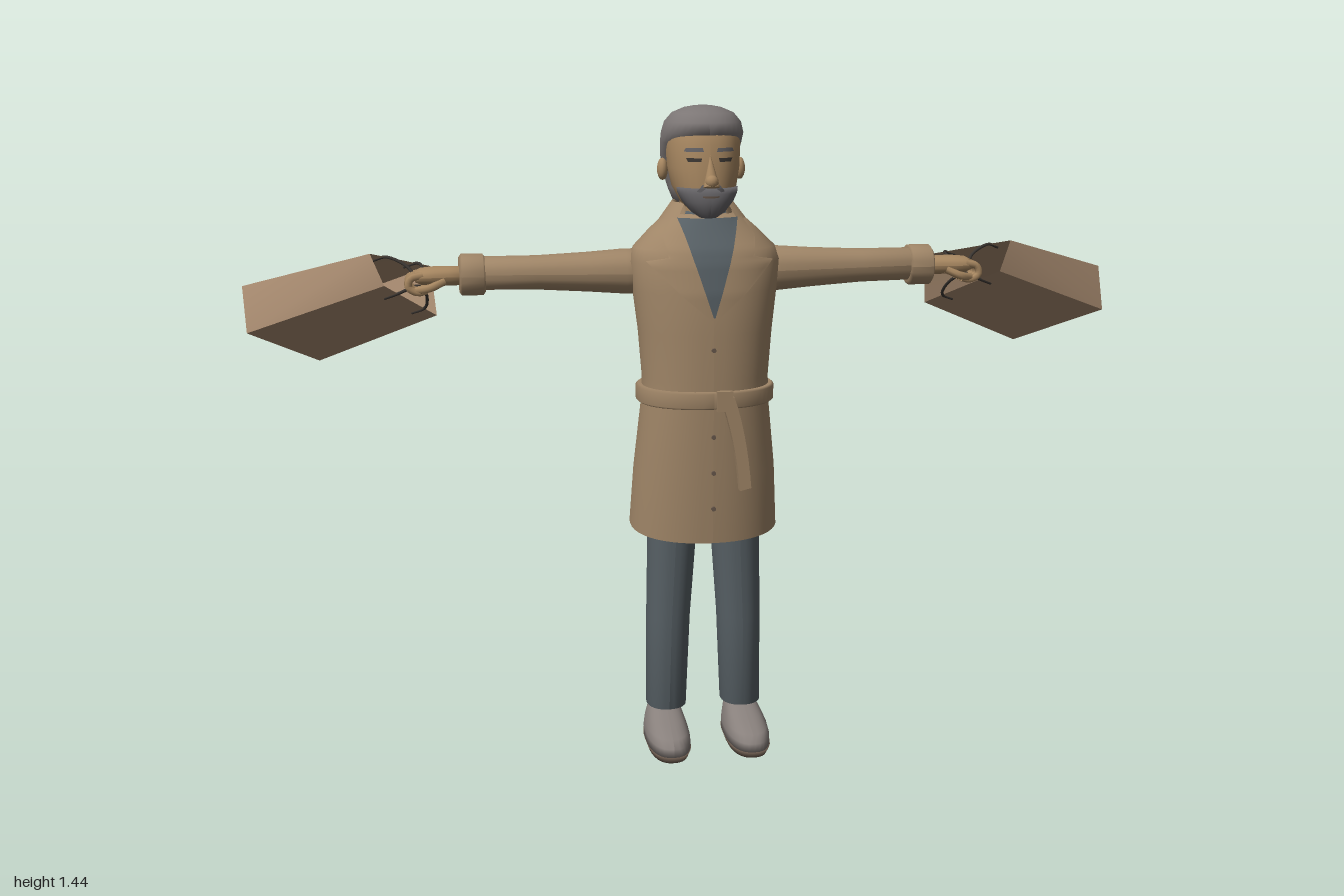
import * as THREE from 'three';

const mat = (name, color) => {
  const m = new THREE.MeshStandardMaterial({ color, side: THREE.DoubleSide });
  m.name = name;
  return m;
};

// Cross-section rows are [y, halfWidth, frontZ, backZ, centreX]
const ringPoint = ([y, w, f, b, cx = 0], a, p) => {
  const s = Math.sin(a), c = Math.cos(a), e = 2 / p;
  return [cx + w * Math.sign(s) * Math.abs(s) ** e, y,
    (f + b) / 2 + (f - b) / 2 * Math.sign(c) * Math.abs(c) ** e];
};

function grid(rows, cols, point) {
  const pos = [], idx = [];
  for (let i = 0; i < rows; i++) for (let j = 0; j < cols; j++) pos.push(...point(i, j));
  for (let i = 0; i < rows - 1; i++) for (let j = 0; j < cols - 1; j++) {
    const a = i * cols + j, d = a + cols;
    idx.push(a, a + 1, d + 1, a, d + 1, d);
  }
  const g = new THREE.BufferGeometry();
  g.setAttribute('position', new THREE.Float32BufferAttribute(pos, 3));
  g.setIndex(idx);
  g.computeVertexNormals();
  return g;
}

// Loft through cross-sections; caps are made by collapsing an extra ring to a point
function loft(sections, { cap = 'both', p = 2.2, from = 0, to = Math.PI * 2, n = 32 } = {}) {
  const point = ([y, , f, b, cx = 0]) => [y, 0, (f + b) / 2, (f + b) / 2, cx];
  const s = [...sections];
  if (cap === 'both') s.unshift(point(s[0]));
  if (cap !== 'none') s.push(point(s[s.length - 1]));
  return grid(s.length, n + 1, (i, j) => ringPoint(s[i], from + (to - from) * j / n, p));
}

// Interpolated row of a table at height y
function rowAt(table, y) {
  let i = 0;
  while (i < table.length - 2 && table[i + 1][0] < y) i++;
  const a = table[i], b = table[i + 1];
  const t = THREE.MathUtils.clamp((y - a[0]) / (b[0] - a[0]), 0, 1);
  return a.map((v, k) => v + (b[k] - v) * t);
}

// Panel lying on a lofted surface; edge rows are [y, x0, x1]
function panel(table, edges, offset, side = 1, p = 2.2) {
  const n = 24, y0 = edges[0][0], y1 = edges[edges.length - 1][0];
  return grid(n + 1, 11, (i, j) => {
    const y = y0 + (y1 - y0) * i / n;
    const [, x0, x1] = rowAt(edges, y), [, w, f, b] = rowAt(table, y);
    const x = x0 + (x1 - x0) * (side > 0 ? j : 10 - j) / 10;
    const k = Math.max(0, 1 - Math.abs(x / w) ** p) ** (1 / p);
    return [x, y, (f + b) / 2 + side * ((f - b) / 2 * k + offset)];
  });
}

function mirrored(geo) {
  const g = geo.clone().scale(-1, 1, 1), ix = g.index;
  for (let i = 0; i < ix.count; i += 3) {
    const t = ix.getX(i);
    ix.setX(i, ix.getX(i + 1));
    ix.setX(i + 1, t);
  }
  return g;
}

const COAT = [[0.51, 0.165, 0.255, -0.01], [0.65, 0.157, 0.261, 0.012], [0.8, 0.141, 0.262, 0.032],
  [0.86, 0.139, 0.262, 0.034], [0.96, 0.147, 0.261, 0.034], [1.05, 0.158, 0.257, 0.03], [1.11, 0.164, 0.246, 0.03],
  [1.14, 0.155, 0.235, 0.033], [1.175, 0.12, 0.212, 0.04], [1.21, 0.08, 0.19, 0.055]];
const HEAD = [[1.215, 0.03, 0.212, 0.12], [1.235, 0.052, 0.219, 0.08], [1.27, 0.069, 0.221, 0.045],
  [1.31, 0.077, 0.218, 0.03], [1.36, 0.08, 0.212, 0.025], [1.4, 0.072, 0.198, 0.04], [1.425, 0.05, 0.17, 0.07]];

export function createModel() {
  const root = new THREE.Group();
  const coat = mat('coat', 0x9f8567), bag = mat('bag paper', 0xa88b70), skin = mat('skin', 0xa68660);
  const hair = mat('hair', 0x7c7675), beardM = mat('beard', 0x666467), cloth = mat('trouser cloth', 0x576065);
  const shoeM = mat('shoe', 0x88807c), soleM = mat('sole', 0x66564a), dark = mat('dark cord', 0x3b3632);
  const add = (name, geo, m) => {
    const mesh = new THREE.Mesh(geo, m);
    mesh.name = name;
    root.add(mesh);
  };
  const pair = (name, geo, m) => {
    add(name + 'Left', geo, m);
    add(name + 'Right', mirrored(geo), m);
  };

  // Coat, its hem rising toward the back
  const body = loft(COAT, { cap: 'top', n: 48 }), bp = body.attributes.position;
  for (let i = 0; i < bp.count; i++) if (bp.getY(i) < 0.52) bp.setY(i, 0.5 + (0.255 - bp.getZ(i)) * 0.12);
  body.computeVertexNormals();
  add('coat', body, coat);
  add('shirtFront', panel(COAT, [[1.0, -0.003, 0.003], [1.205, -0.066, 0.066]], 0.005), cloth);
  pair('lapel', panel(COAT, [[0.995, 0, 0.006], [1.05, 0.018, 0.07], [1.1, 0.034, 0.12], [1.118, 0.04, 0.138],
    [1.124, 0.042, 0.092], [1.17, 0.055, 0.1], [1.205, 0.066, 0.076]], 0.011), coat);
  add('backFlap', panel(COAT, [[1.06, -0.135, 0.135], [1.17, -0.11, 0.11]], 0.009, -1), coat);
  add('collar', loft([[1.145, 0.135, 0.235, 0.02], [1.19, 0.1, 0.205, 0.036], [1.235, 0.066, 0.175, 0.05],
    [1.232, 0.058, 0.168, 0.058], [1.19, 0.07, 0.18, 0.06]],
  { cap: 'none', from: 0.75, to: Math.PI * 2 - 0.75 }), coat);

  // Belt with hanging tail, and buttons
  add('belt', loft([[0.802, 0.147, 0.267, 0.024], [0.806, 0.152, 0.272, 0.02], [0.836, 0.152, 0.272, 0.02],
    [0.84, 0.147, 0.267, 0.024]], { n: 48 }), coat);
  const tail = new THREE.Shape();
  tail.moveTo(0.012, 0.83);
  tail.quadraticCurveTo(0.045, 0.74, 0.055, 0.622);
  tail.lineTo(0.08, 0.628);
  tail.quadraticCurveTo(0.07, 0.75, 0.042, 0.83);
  add('beltTail', new THREE.ExtrudeGeometry(tail, { depth: 0.02, bevelEnabled: false, curveSegments: 8 })
    .translate(0, 0, 0.26), coat);
  add('beltLoop', new THREE.BoxGeometry(0.034, 0.044, 0.014).translate(0.022, 0.821, 0.273), coat);
  for (const y of [0.58, 0.66, 0.74, 0.93])
    add('button', new THREE.CylinderGeometry(0.005, 0.005, 0.006, 10).rotateX(Math.PI / 2).translate(0, y, 0.263), soleM);

  // Trousers, ankles and shoes
  pair('trouserLeg', loft([[0.088, 0.045, 0.182, 0.073, 0.086], [0.3, 0.049, 0.189, 0.07, 0.081],
    [0.52, 0.055, 0.198, 0.066, 0.071], [0.7, 0.06, 0.205, 0.06, 0.065]]), cloth);
  pair('ankle', loft([[0.06, 0.03, 0.16, 0.085, 0.088], [0.1, 0.03, 0.16, 0.085, 0.088]]), shoeM);
  pair('sole', loft([[0, 0.044, 0.28, 0.06, 0.091], [0.016, 0.05, 0.29, 0.055, 0.091]], { p: 2.5 }), soleM);
  pair('shoe', loft([[0.014, 0.049, 0.288, 0.056, 0.091], [0.035, 0.049, 0.287, 0.055, 0.091],
    [0.05, 0.046, 0.268, 0.056, 0.091], [0.066, 0.04, 0.218, 0.058, 0.09], [0.08, 0.034, 0.175, 0.062, 0.089],
    [0.086, 0.028, 0.16, 0.072, 0.089]], { p: 2.4 }), shoeM);

  // Arms, lofted upright and laid along x
  const sideways = (sections, y) => loft(sections, { n: 24 }).rotateZ(-Math.PI / 2).translate(0, y, 0);
  pair('sleeve', sideways([[0.1, 0.048, 0.16, 0.045], [0.17, 0.049, 0.16, 0.047], [0.25, 0.043, 0.15, 0.051],
    [0.36, 0.037, 0.136, 0.05], [0.49, 0.036, 0.122, 0.046]], 1.083), coat);
  pair('cuff', sideways([[0.472, 0.038, 0.122, 0.04], [0.477, 0.045, 0.13, 0.033], [0.523, 0.045, 0.129, 0.033],
    [0.528, 0.038, 0.122, 0.04]], 1.08), coat);
  pair('hand', sideways([[0.51, 0.02, 0.105, 0.055], [0.55, 0.021, 0.108, 0.05], [0.58, 0.021, 0.112, 0.045],
    [0.61, 0.018, 0.11, 0.044], [0.622, 0.012, 0.105, 0.05]], 1.078), skin);
  const v = (x, y, z) => new THREE.Vector3(x, y, z);
  const tube = (pts, r, n = 12) => new THREE.TubeGeometry(new THREE.CatmullRomCurve3(pts), n, r, 7);
  for (let i = 0; i < 4; i++) {
    const z = 0.051 + i * 0.017;
    pair('finger', tube([v(0.605, 1.083, z), v(0.632, 1.076, z), v(0.637, 1.058, z), v(0.618, 1.046, z),
      v(0.598, 1.05, z)], 0.0085), skin);
  }
  pair('thumb', tube([v(0.56, 1.07, 0.105), v(0.59, 1.057, 0.113), v(0.62, 1.05, 0.1)], 0.009), skin);

  // Paper bags: bottom rim then mouth rim, open at the mouth
  const base = [v(0.863, 0.955, -0.285), v(1, 1.043, -0.082), v(0.99, 0.947, -0.022), v(0.847, 0.843, -0.227)];
  const mouth = [v(0.585, 1.07, -0.144), v(0.716, 1.13, 0.085), v(0.688, 1.062, 0.1), v(0.575, 0.963, -0.1)];
  const faces = [base];
  for (let i = 0; i < 4; i++) {
    const k = (i + 1) % 4;
    faces.push([base[k], base[i], mouth[i], mouth[k]]);
  }
  const paper = new THREE.BufferGeometry();
  paper.setAttribute('position', new THREE.Float32BufferAttribute(
    faces.flatMap(f => f.flatMap(c => c.toArray())), 3));
  paper.setIndex(faces.flatMap((_, i) => [0, 2, 1, 0, 3, 2].map(k => i * 4 + k)));
  paper.computeVertexNormals();
  pair('shoppingBag', paper, bag);

  // Cord handles from each mouth edge up to the hand
  for (const [a, b, ba, bb] of [[0, 1, 0, 1], [3, 2, 3, 2]]) {
    const on = t => mouth[a].clone().lerp(mouth[b], t);
    const inside = t => on(t).lerp(base[ba].clone().lerp(base[bb], t), 0.1);
    const grip = a ? v(0.617, 1.056, 0.07) : v(0.615, 1.064, 0.075);
    const bend = t => on(t).lerp(grip, 0.5).add(v(-0.012, 0.006, 0));
    pair('bagHandle', tube([inside(0.25), on(0.25), bend(0.25), grip, bend(0.75), on(0.75), inside(0.75)],
      0.0035, 36), dark);
  }

  // Head and face
  add('neck', loft([[1.17, 0.05, 0.16, 0.06], [1.26, 0.048, 0.155, 0.06]]), skin);
  add('shirtCollar', loft([[1.17, 0.062, 0.185, 0.055], [1.215, 0.053, 0.165, 0.056]]), cloth);
  add('head', loft(HEAD), skin);
  add('hair', loft([[1.23, 0.056, 0.1, 0.035], [1.26, 0.068, 0.1, 0.02], [1.3, 0.08, 0.105, 0.013],
    [1.335, 0.086, 0.135, 0.01], [1.36, 0.088, 0.175, 0.01], [1.382, 0.088, 0.208, 0.013],
    [1.405, 0.082, 0.203, 0.027], [1.424, 0.066, 0.187, 0.048], [1.435, 0.04, 0.16, 0.075],
    [1.439, 0.018, 0.135, 0.1]]), hair);
  add('beard', loft([[1.206, 0.018, 0.21, 0.165], [1.218, 0.036, 0.222, 0.15], [1.24, 0.055, 0.228, 0.13],
    [1.258, 0.064, 0.226, 0.125], [1.27, 0.066, 0.222, 0.125]]), beardM);
  add('mouth', panel(HEAD, [[1.25, -0.018, 0.018], [1.254, -0.018, 0.018]], 0.0075), soleM);
  pair('moustache', panel(HEAD, [[1.262, 0.022, 0.032], [1.278, 0, 0.018]], 0.006), beardM);
  const nose = new THREE.ConeGeometry(0.018, 0.07, 12, 4).scale(1, 1, 0.9);
  nose.rotateX(-0.25).translate(0, 1.307, 0.222);
  add('nose', nose, skin);
  add('noseTip', new THREE.SphereGeometry(0.014, 14, 10).translate(0, 1.285, 0.235), skin);
  pair('eye', panel(HEAD, [[1.325, 0.02, 0.046], [1.333, 0.018, 0.05]], 0.002), dark);
  pair('eyebrow', panel(HEAD, [[1.346, 0.014, 0.054], [1.354, 0.016, 0.05]], 0.003), beardM);
  pair('ear', new THREE.SphereGeometry(1, 14, 10).scale(0.012, 0.024, 0.016).translate(0.085, 1.303, 0.1), skin);

  return root;
}
